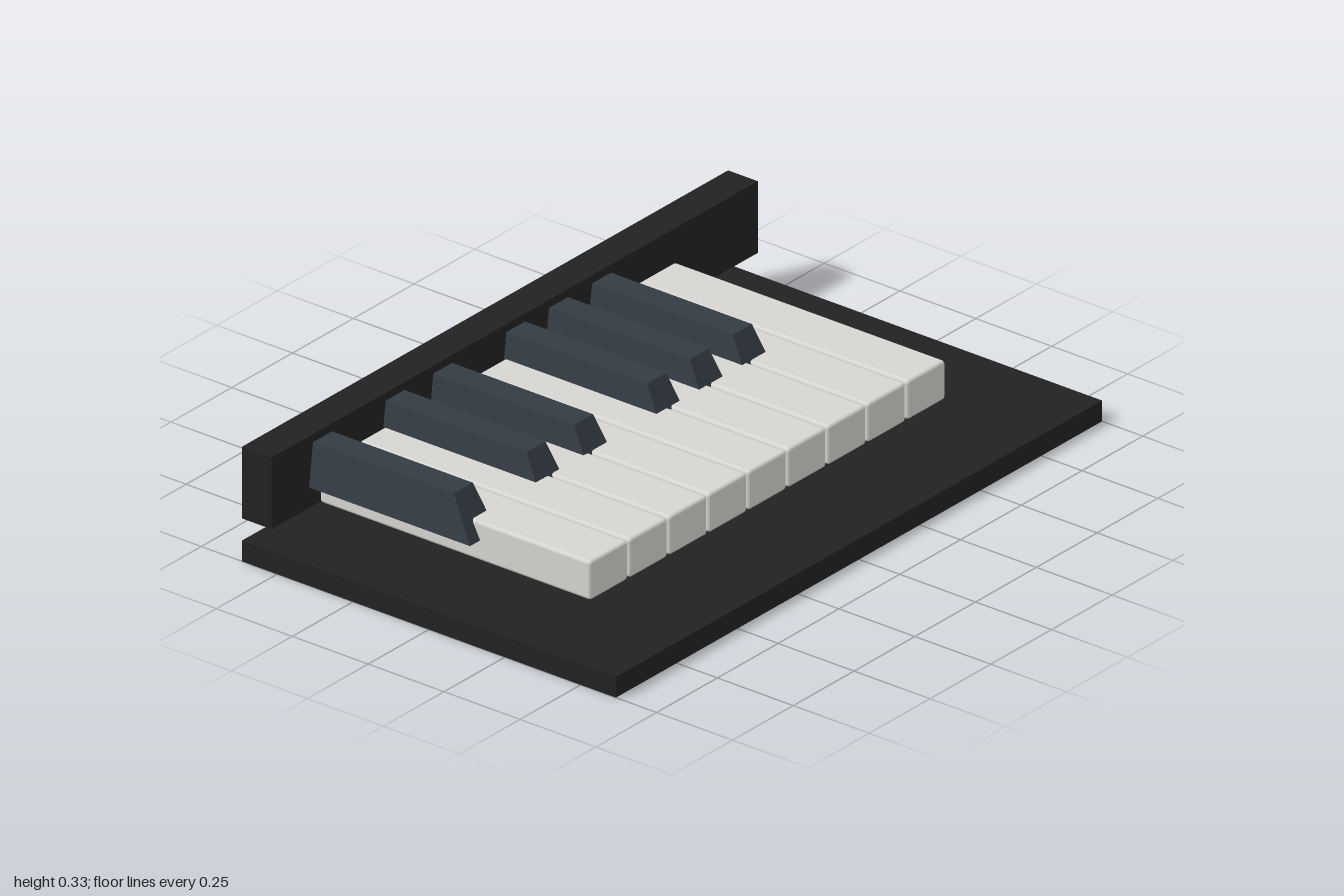
import * as THREE from 'three';
import { RoundedBoxGeometry } from 'three/addons/geometries/RoundedBoxGeometry.js';

const material = (name, color) => {
  const m = new THREE.MeshStandardMaterial({ color });
  m.name = name;
  return m;
};

export function createModel() {
  const model = new THREE.Group();
  model.name = 'keyboard';
  const casing = material('casing black', 0x222222);
  const ivory = material('ivory', 0xd6d5d1);
  const ebony = material('slate', 0x343c44);

  const add = (name, geometry, mat, x, y, z) => {
    const mesh = new THREE.Mesh(geometry, mat);
    mesh.name = name;
    mesh.position.set(x, y, z);
    model.add(mesh);
  };

  // Floating base plate and rear rail
  add('basePlate', new THREE.BoxGeometry(2, 0.06, 1.232), casing, 0, 0.03, 0);
  add('rearRail', new THREE.BoxGeometry(2, 0.207, 0.098), casing, 0, 0.2275, -0.567);

  // Nine white keys with softly rounded edges
  const pitch = 0.1633;
  const whiteKey = new RoundedBoxGeometry(pitch - 0.007, 0.113, 0.893, 3, 0.01);
  for (let i = 0; i < 9; i++) {
    add(`whiteKey${i + 1}`, whiteKey, ivory, -0.726 + i * pitch, 0.1795, -0.0715);
  }

  // Black keys: narrower on top, with a sloping front
  const blackKey = new THREE.BoxGeometry(0.11, 0.125, 0.532);
  const p = blackKey.attributes.position;
  for (let i = 0; i < p.count; i++) {
    if (p.getY(i) < 0) continue;
    p.setX(i, Math.sign(p.getX(i)) * 0.039);
    if (p.getZ(i) > 0) p.setZ(i, p.getZ(i) - 0.066);
  }
  blackKey.computeVertexNormals();
  [-0.791, -0.492, -0.296, 0.004, 0.18, 0.357].forEach((x, i) => {
    add(`blackKey${i + 1}`, blackKey, ebony, x, 0.2455, -0.254);
  });

  return model;
}
